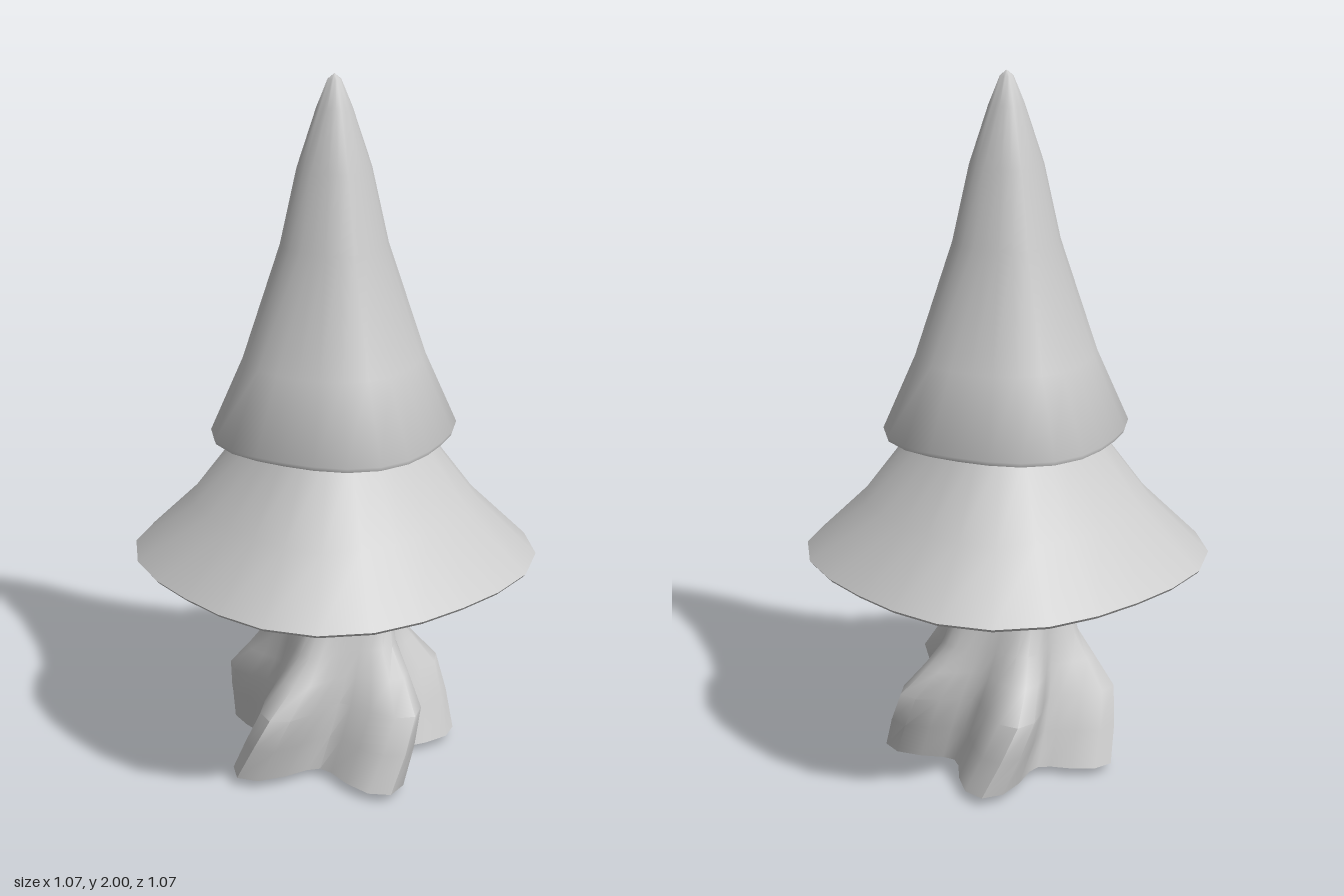
import * as THREE from 'three';
import { toCreasedNormals } from 'three/addons/utils/BufferGeometryUtils.js';

const rad = THREE.MathUtils.degToRad;

// Closed loft: rings at the given heights, fanned to a bottom and a top centre.
// radius(row, angle) gives the outline; turn(y) twists it with height.
function loft(rows, segments, baseY, tipY, start, radius, turn = () => 0) {
  const pos = [], index = [];
  for (const row of rows) {
    for (let i = 0; i < segments; i++) {
      const a = start + (i / segments) * Math.PI * 2;
      const r = radius(row, a), t = a + turn(row.y);
      pos.push(r * Math.cos(t), row.y, r * Math.sin(t));
    }
  }
  const base = pos.length / 3, tip = base + 1, last = (rows.length - 1) * segments;
  pos.push(0, baseY, 0, 0, tipY, 0);
  for (let i = 0; i < segments; i++) {
    const n = (i + 1) % segments;
    for (let j = 0; j < rows.length - 1; j++) {
      const lo = j * segments, hi = lo + segments;
      index.push(lo + i, hi + i, lo + n, lo + n, hi + i, hi + n);
    }
    index.push(base, i, n, tip, last + n, last + i);
  }
  const geo = new THREE.BufferGeometry();
  geo.setAttribute('position', new THREE.Float32BufferAttribute(pos, 3));
  geo.setIndex(index);
  return toCreasedNormals(geo, rad(50));
}

// Foliage cone with a slightly squared outline
function tier(profile, tipY, squareness, corner, start) {
  const rows = profile.map(([r, y]) => ({ r, y }));
  const outline = (row, a) => row.r * (1 + squareness * Math.cos(4 * (a - rad(corner))));
  return loft(rows, 24, rows[0].y, tipY, rad(start), outline);
}

// Star-shaped trunk: five root lobes that twist and fade into the stem
function trunk() {
  const lobes = [[34, 0.36], [106, 0.385], [178, 0.38], [250, 0.345], [322, 0.375]];
  const rows = [
    // y, valley radius, share of the root length, stem ridge radius
    [0.025, 0.21, 1, 0.2],
    [0.13, 0.2, 0.93, 0.2],
    [0.23, 0.19, 0.83, 0.2],
    [0.31, 0.175, 0.4, 0.2],
    [0.38, 0.165, 0.06, 0.2],
    [0.5, 0.15, 0, 0.178],
    [0.66, 0.138, 0, 0.158],
  ].map(([y, valley, root, stem]) => ({ y, valley, root, stem }));
  const outline = (row, a) => {
    let r = row.valley;
    for (const [deg, length] of lobes) {
      const d = a - rad(deg);
      const off = Math.abs(Math.atan2(Math.sin(d), Math.cos(d))) / rad(36);
      if (off >= 1) continue;
      const ridge = row.stem + (length - row.stem) * row.root;
      const bump = Math.pow(0.5 + 0.5 * Math.cos(off * Math.PI), 1.15);
      r += (ridge - row.valley) * bump;
    }
    return r;
  };
  return loft(rows, 40, 0, 0.66, rad(34), outline, (y) => -1.35 * (y - 0.025));
}

export function createModel() {
  const tree = new THREE.Group();
  tree.name = 'tree';
  const material = new THREE.MeshStandardMaterial({ color: 0xcccccc });
  const add = (name, geometry) => {
    const mesh = new THREE.Mesh(geometry, material);
    mesh.name = name;
    tree.add(mesh);
  };

  add('trunk', trunk());
  add('lowerFoliage', tier(
    [[0.55, 0.628], [0.557, 0.637], [0.395, 0.8], [0.25, 1.0], [0.22, 1.05]],
    1.05, 0.04, 45, 0));
  add('upperFoliage', tier(
    [[0.336, 1.0], [0.34, 1.012], [0.25, 1.22], [0.146, 1.54], [0.1, 1.75], [0.048, 1.91], [0.018, 1.985]],
    2.0, 0.04, 21, 5));
  return tree;
}
